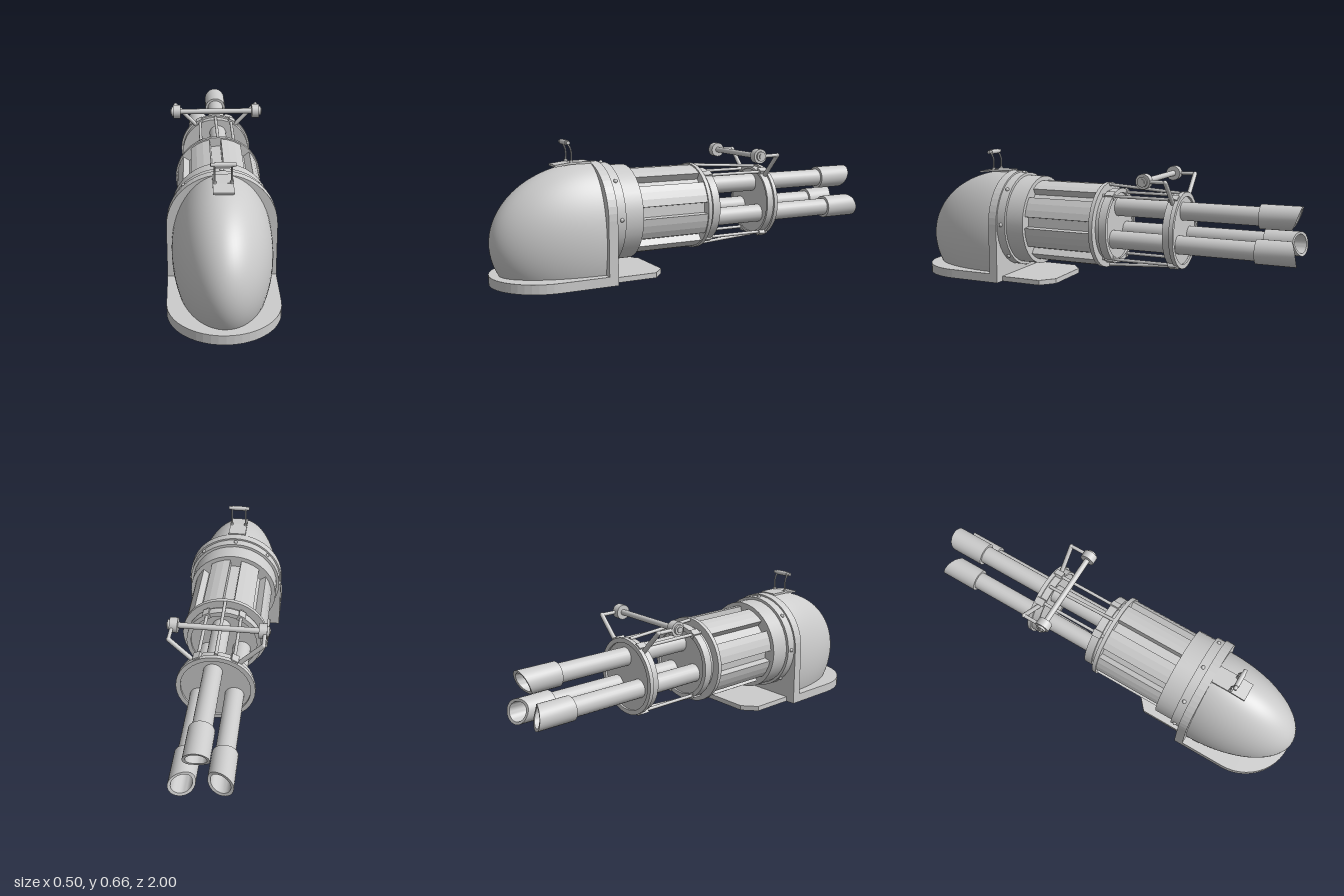
import * as THREE from 'three';
import { toCreasedNormals } from 'three/addons/utils/BufferGeometryUtils.js';

const mat = new THREE.MeshStandardMaterial({ color: 0xcccccc });
const thin = new THREE.MeshStandardMaterial({ color: 0xcccccc, side: THREE.DoubleSide });
const rad = THREE.MathUtils.degToRad;
const V = (x, y, z) => new THREE.Vector3(x, y, z);

function add(parent, name, geo, x = 0, y = 0, z = 0, material = mat) {
  const m = new THREE.Mesh(geo, material);
  m.name = name;
  m.position.set(x, y, z);
  parent.add(m);
  return m;
}

// Cylinder between two points
function rod(parent, name, a, b, r, sides = 12) {
  const m = add(parent, name, new THREE.CylinderGeometry(r, r, a.distanceTo(b), sides));
  m.position.copy(a).lerp(b, 0.5);
  m.quaternion.setFromUnitVectors(V(0, 1, 0), b.clone().sub(a).normalize());
  return m;
}

// Cylinder along z
const disc = (parent, name, r, z0, z1, sides = 36) => rod(parent, name, V(0, 0, z0), V(0, 0, z1), r, sides);

function extrude(shape, depth, curveSegments = 12) {
  return new THREE.ExtrudeGeometry(shape, { depth, bevelEnabled: false, curveSegments });
}

// Flat plate drawn in x and z, standing on y = 0
function plate(parent, name, shape, height) {
  add(parent, name, extrude(shape, height).rotateX(Math.PI / 2), 0, height, 0);
}

// Ring along z made from a closed profile
function ring(parent, name, rOut, rIn, z0, z1) {
  const p = [[rIn, z0], [rOut, z0], [rOut, z1], [rIn, z1], [rIn, z0]].map(([r, z]) => new THREE.Vector2(r, z));
  const geo = toCreasedNormals(new THREE.LatheGeometry(p, 36).rotateX(Math.PI / 2), 0.6);
  add(parent, name, geo, 0, 0, 0, thin);
}

function buildMount(g) {
  // Rounded base and rear tray
  const base = new THREE.Shape();
  base.moveTo(-0.25, 0.475);
  base.lineTo(0.25, 0.475);
  base.lineTo(0.25, 0.75);
  base.absarc(0, 0.75, 0.25, 0, Math.PI, false);
  plate(g, 'base', base, 0.045);
  const tray = new THREE.Shape([[-0.2, 0.5], [-0.2, 0.26], [-0.13, 0.2], [0.13, 0.2], [0.2, 0.26], [0.2, 0.5]]
    .map(([x, z]) => new THREE.Vector2(x, z)));
  plate(g, 'rearTray', tray, 0.025);

  // Arched wall behind the dome
  const arch = new THREE.Shape();
  arch.moveTo(-0.25, 0);
  arch.lineTo(0.25, 0);
  arch.lineTo(0.25, 0.3);
  arch.absarc(0, 0.3, 0.25, 0, Math.PI, false);
  add(g, 'archWall', extrude(arch, 0.045), 0, 0, 0.475);

  // Half egg dome, cut off at the base
  const dome = new THREE.SphereGeometry(1, 40, 32, 0, Math.PI, 0, 1.985).scale(0.228, 0.36, 0.478);
  add(g, 'dome', dome, 0, 0.19, 0.52, thin);

  // Carrying handle on the dome
  add(g, 'handlePlate', new THREE.BoxGeometry(0.09, 0.01, 0.1), 0, 0.549, 0.57);
  const tongue = add(g, 'handlePlateFront', new THREE.BoxGeometry(0.09, 0.01, 0.08), 0, 0.544, 0.655);
  tongue.rotation.x = 0.12;
  for (const s of [-1, 1]) {
    const path = new THREE.CatmullRomCurve3([V(s * 0.037, 0.545, 0.615), V(s * 0.037, 0.61, 0.615), V(s * 0.037, 0.645, 0.633)]);
    add(g, 'handlePost', new THREE.TubeGeometry(path, 10, 0.004, 8));
    rod(g, 'handleFoot', V(s * 0.037, 0.545, 0.615), V(s * 0.037, 0.562, 0.615), 0.009);
  }
  rod(g, 'handleGrip', V(-0.036, 0.645, 0.633), V(0.036, 0.645, 0.633), 0.012, 16);
  rod(g, 'handleBar', V(-0.055, 0.645, 0.633), V(0.055, 0.645, 0.633), 0.009);
}

function buildHousing(gun) {
  disc(gun, 'boltRing', 0.242, 0.475, 0.43);
  disc(gun, 'collar', 0.228, 0.43, 0.335);
  for (let i = 0; i < 8; i++) {
    const a = i * Math.PI / 4;
    add(gun, 'bolt', new THREE.SphereGeometry(0.01, 10, 8), 0.242 * Math.cos(a), 0.242 * Math.sin(a), 0.452);
  }

  // Drum with eight lengthwise slots
  const pts = [];
  const put = (r, deg) => pts.push(new THREE.Vector2(r * Math.cos(rad(deg)), r * Math.sin(rad(deg))));
  for (let i = 0; i < 8; i++) {
    const c = i * 45 + 4;
    put(0.17, c - 8);
    put(0.17, c + 8);
    for (let k = 0; k <= 3; k++) put(0.207, c + 8 + k * 29 / 3);
  }
  add(gun, 'slottedDrum', extrude(new THREE.Shape(pts), 0.36), 0, 0, -0.02);
  disc(gun, 'drumEndPlate', 0.214, -0.02, -0.04);
}

function buildCage(gun) {
  // Two lipped discs that carry the barrels
  disc(gun, 'rearDisc', 0.175, -0.04, -0.09);
  ring(gun, 'rearDiscLip', 0.187, 0.165, -0.1, -0.06);
  disc(gun, 'frontDisc', 0.17, -0.39, -0.43);
  ring(gun, 'frontDiscLip', 0.187, 0.165, -0.44, -0.42);
  ring(gun, 'frontDiscBand', 0.177, 0.165, -0.42, -0.385);

  // Straight and sloping tie rods
  for (const deg of [62, 118, 242, 298]) {
    const x = 0.178 * Math.cos(rad(deg)), y = 0.178 * Math.sin(rad(deg));
    rod(gun, 'tieRod', V(x, y, -0.03), V(x, y, -0.44), 0.008);
    for (const z of [-0.08, -0.41]) {
      const lug = add(gun, 'rodLug', new THREE.BoxGeometry(0.03, 0.035, 0.045), x, y, z);
      lug.rotation.z = rad(deg);
    }
  }
  for (const s of [-1, 1]) rod(gun, 'slopingRod', V(0, s * 0.205, -0.03), V(0, s * 0.18, -0.41), 0.008);
}

function buildBarrels(gun) {
  for (const deg of [83, 203, 323]) {
    const x = 0.096 * Math.cos(rad(deg)), y = 0.096 * Math.sin(rad(deg));
    rod(gun, 'barrel', V(x, y, -0.05), V(x, y, -0.83), 0.045, 24);

    // Hollow muzzle whose lip reaches further on the outer side
    const profile = [[0.044, 0], [0.058, 0], [0.058, 0.19], [0.045, 0.19], [0.045, 0.05], [0, 0.05]]
      .map(([r, h]) => new THREE.Vector2(r, h));
    const geo = new THREE.LatheGeometry(profile, 28).rotateX(-Math.PI / 2);
    const p = geo.attributes.position;
    for (let i = 0; i < p.count; i++) {
      if (p.getZ(i) > -0.18) continue;
      const d = Math.hypot(p.getX(i) + x, p.getY(i) + y);
      const t = THREE.MathUtils.clamp((0.154 - d) / 0.116, 0, 1);
      p.setZ(i, -0.19 + 0.05 * t);
    }
    add(gun, 'muzzle', toCreasedNormals(geo, 0.6), x, y, -0.81, thin);
  }
}

function buildCrossbar(g) {
  // Crossbar with end wheels, held by two bent arms
  const y = 0.553, z = -0.305;
  rod(g, 'crossbar', V(-0.2, y, z), V(0.2, y, z), 0.014, 16);
  for (const s of [-1, 1]) {
    rod(g, 'crossbarWheel', V(s * 0.187, y, z), V(s * 0.225, y, z), 0.036, 24);
    rod(g, 'crossbarCap', V(s * 0.225, y, z), V(s * 0.235, y, z), 0.024, 20);
    rod(g, 'crossbarTip', V(s * 0.235, y, z), V(s * 0.24, y, z), 0.014);
    const elbow = V(s * 0.215, y, -0.412);
    rod(g, 'armTop', V(s * 0.215, y, z), elbow, 0.009);
    rod(g, 'armSide', elbow, V(s * 0.105, 0.44, -0.412), 0.011);
    add(g, 'armElbow', new THREE.SphereGeometry(0.011, 10, 8), elbow.x, elbow.y, elbow.z);
  }
}

export function createModel() {
  const model = new THREE.Group();
  model.name = 'turret';
  const mount = new THREE.Group();
  mount.name = 'mount';
  buildMount(mount);
  const gun = new THREE.Group();
  gun.name = 'gun';
  gun.position.y = 0.3;
  buildHousing(gun);
  buildCage(gun);
  buildBarrels(gun);
  const bar = new THREE.Group();
  bar.name = 'crossbarAssembly';
  buildCrossbar(bar);
  model.add(mount, gun, bar);
  return model;
}
